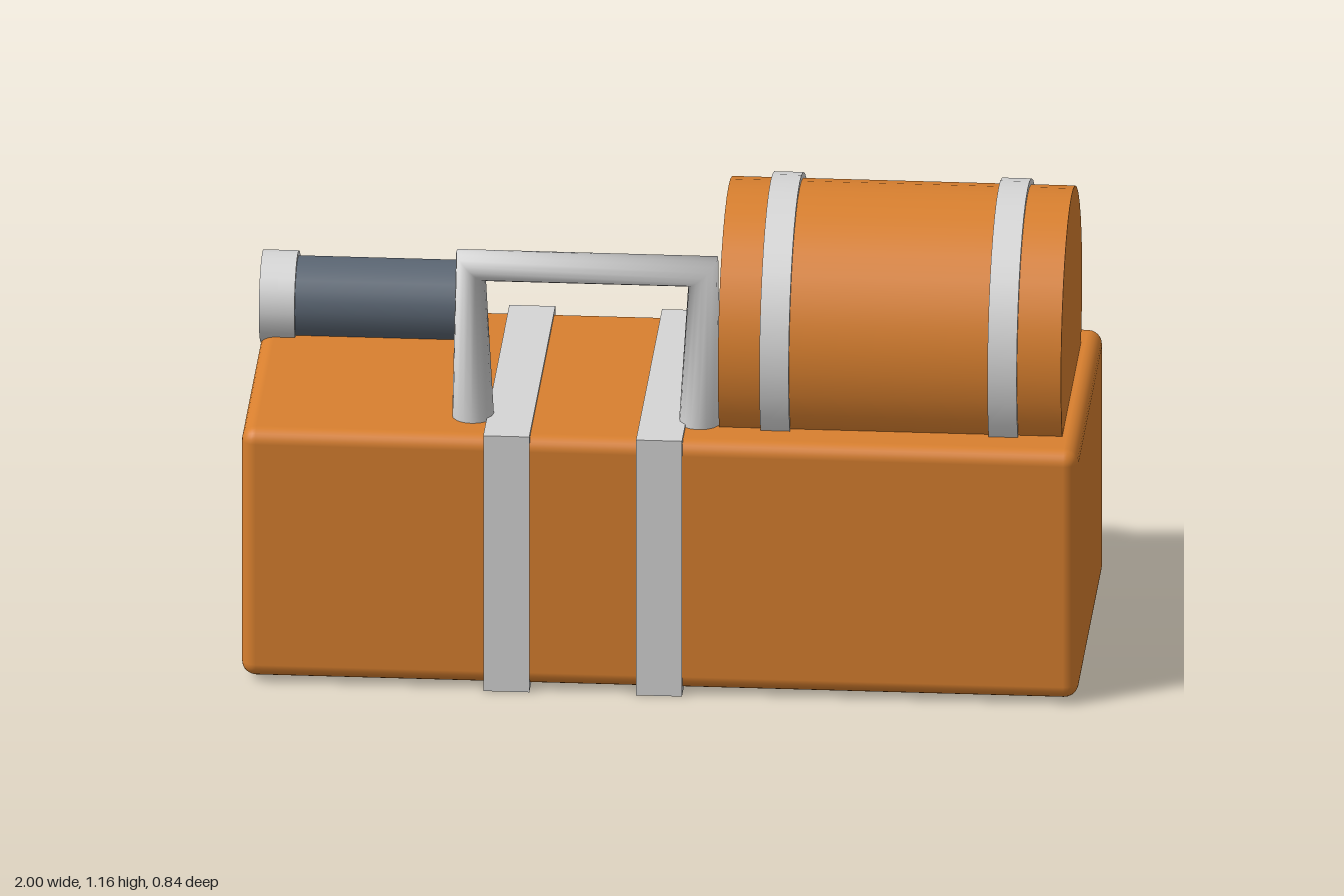
import * as THREE from 'three';
import { RoundedBoxGeometry } from 'three/addons/geometries/RoundedBoxGeometry.js';

function material(name, color) {
  const m = new THREE.MeshStandardMaterial({ color });
  m.name = name;
  return m;
}

// Tube through corner points, with one ring per point tilted along the bend.
function bentTube(points, radius, sides) {
  const n = points.length - 1;
  const geo = new THREE.CylinderGeometry(radius, radius, 1, sides, n, true);
  const pos = geo.attributes.position;
  const dir = (a, b) => points[b].clone().sub(points[a]).normalize();
  for (let i = 0; i < pos.count; i++) {
    const k = Math.round((pos.getY(i) + 0.5) * n);
    const t = new THREE.Vector3();
    if (k > 0) t.add(dir(k - 1, k));
    if (k < n) t.add(dir(k, k + 1));
    t.normalize();
    const radial = new THREE.Vector3(t.y, -t.x, 0).multiplyScalar(pos.getX(i));
    radial.z = pos.getZ(i);
    const p = points[k].clone().add(radial);
    pos.setXYZ(i, p.x, p.y, p.z);
    radial.normalize();
    geo.attributes.normal.setXYZ(i, radial.x, radial.y, radial.z);
  }
  return geo;
}

export function createModel() {
  const orange = material('orange paint', 0xd9802f);
  const silver = material('light grey metal', 0xd6d6d6);
  const slate = material('dark slate', 0x5b6673);
  const model = new THREE.Group();

  function add(name, geo, mat, x = 0, y = 0, z = 0) {
    const mesh = new THREE.Mesh(geo, mat);
    mesh.name = name;
    mesh.position.set(x, y, z);
    model.add(mesh);
    return mesh;
  }

  // Cylinder lying along x between x0 and x1
  function barrel(name, radius, x0, x1, y, z, sides, mat) {
    const geo = new THREE.CylinderGeometry(radius, radius, x1 - x0, sides);
    geo.rotateZ(Math.PI / 2);
    return add(name, geo, mat, (x0 + x1) / 2, y, z);
  }

  // Main housing
  add('body', new RoundedBoxGeometry(2, 0.636, 0.82, 3, 0.035), orange, 0, 0.33, 0);

  // Straps wrapped round the housing
  for (const x of [-0.365, 0]) {
    add('strap', new THREE.BoxGeometry(0.11, 0.656, 0.836), silver, x, 0.328, 0);
  }

  // Drum with two hoops
  barrel('drum', 0.34, 0.135, 0.955, 0.806, 0, 36, orange);
  for (const x of [0.27, 0.815]) {
    barrel('drumHoop', 0.354, x - 0.035, x + 0.035, 0.806, 0, 36, silver);
  }

  // Side canister and its end cap
  barrel('canister', 0.1, -0.95, -0.48, 0.718, -0.278, 24, slate);
  barrel('canisterCap', 0.112, -1, -0.915, 0.718, -0.278, 24, silver);

  // Carry handle
  const path = [[-0.455, 0.645], [-0.46, 1.035], [0.095, 1.035], [0.087, 0.645]];
  add('handle', bentTube(path.map(([x, y]) => new THREE.Vector3(x, y, 0)), 0.05, 16), silver, 0, 0, 0.272);

  return model;
}
